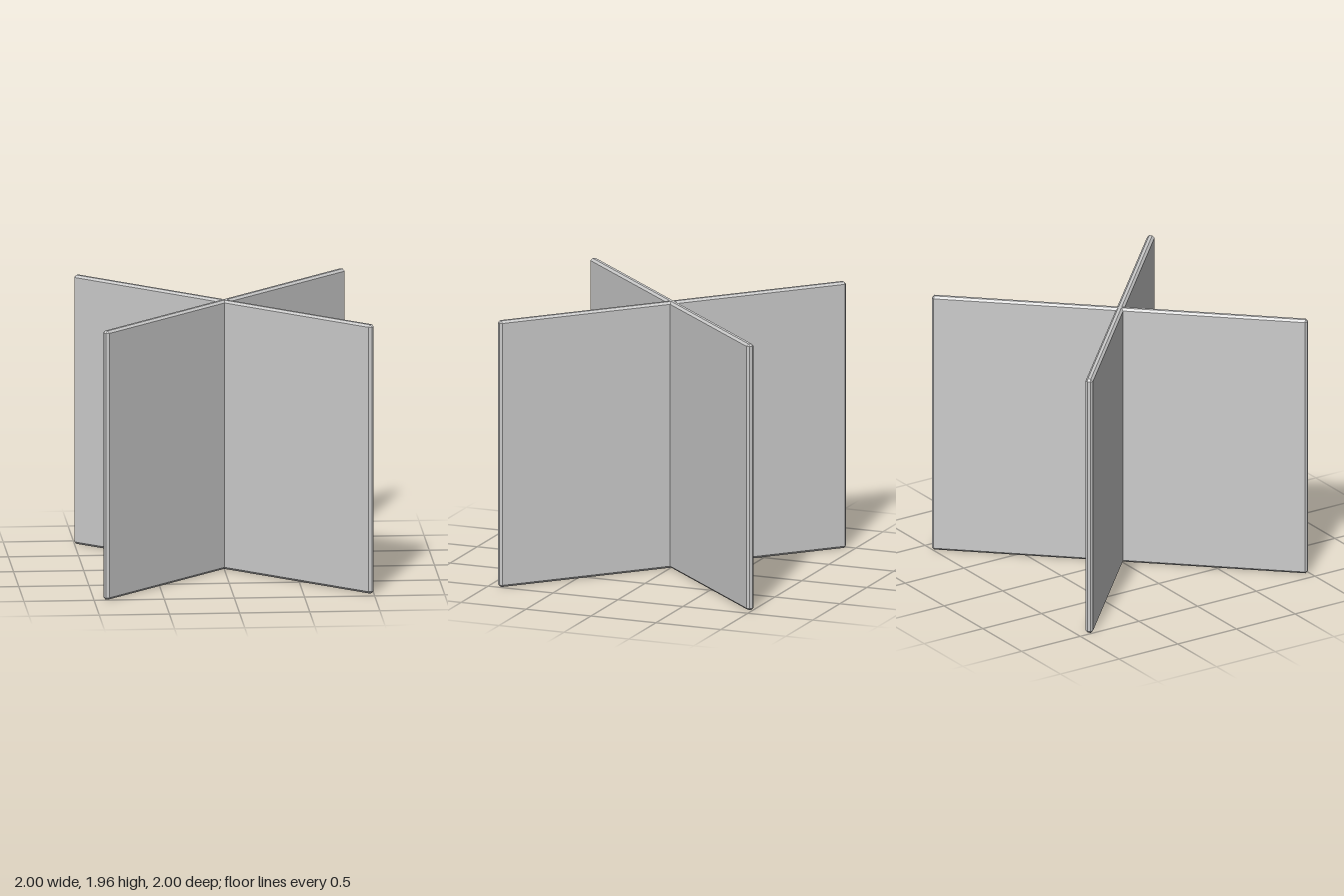
import * as THREE from 'three';
import { ConvexGeometry } from 'three/addons/geometries/ConvexGeometry.js';

const LENGTH = 2.708, HEIGHT = 1.955, THICKNESS = 0.054, BEVEL = 0.016;

// Box with every edge and corner cut by a single flat bevel
function bevelledBox(width, height, depth, bevel) {
  const half = [width / 2, height / 2, depth / 2];
  const points = [];
  for (const sx of [-1, 1]) for (const sy of [-1, 1]) for (const sz of [-1, 1]) {
    for (let full = 0; full < 3; full++) {
      const [x, y, z] = half.map((h, axis) => (axis === full ? h : h - bevel));
      points.push(new THREE.Vector3(sx * x, sy * y, sz * z));
    }
  }
  return new ConvexGeometry(points);
}

export function createModel() {
  const model = new THREE.Group();
  model.name = 'crossedPanels';
  const material = new THREE.MeshStandardMaterial({ color: 0xcccccc, flatShading: true });
  const geometry = bevelledBox(LENGTH, HEIGHT, THICKNESS, BEVEL);

  // Two equal upright panels crossing at a right angle
  const turn = THREE.MathUtils.degToRad(-42.9);
  ['firstPanel', 'secondPanel'].forEach((name, i) => {
    const panel = new THREE.Mesh(geometry, material);
    panel.name = name;
    panel.position.y = HEIGHT / 2;
    panel.rotation.y = turn - i * Math.PI / 2;
    model.add(panel);
  });
  return model;
}
